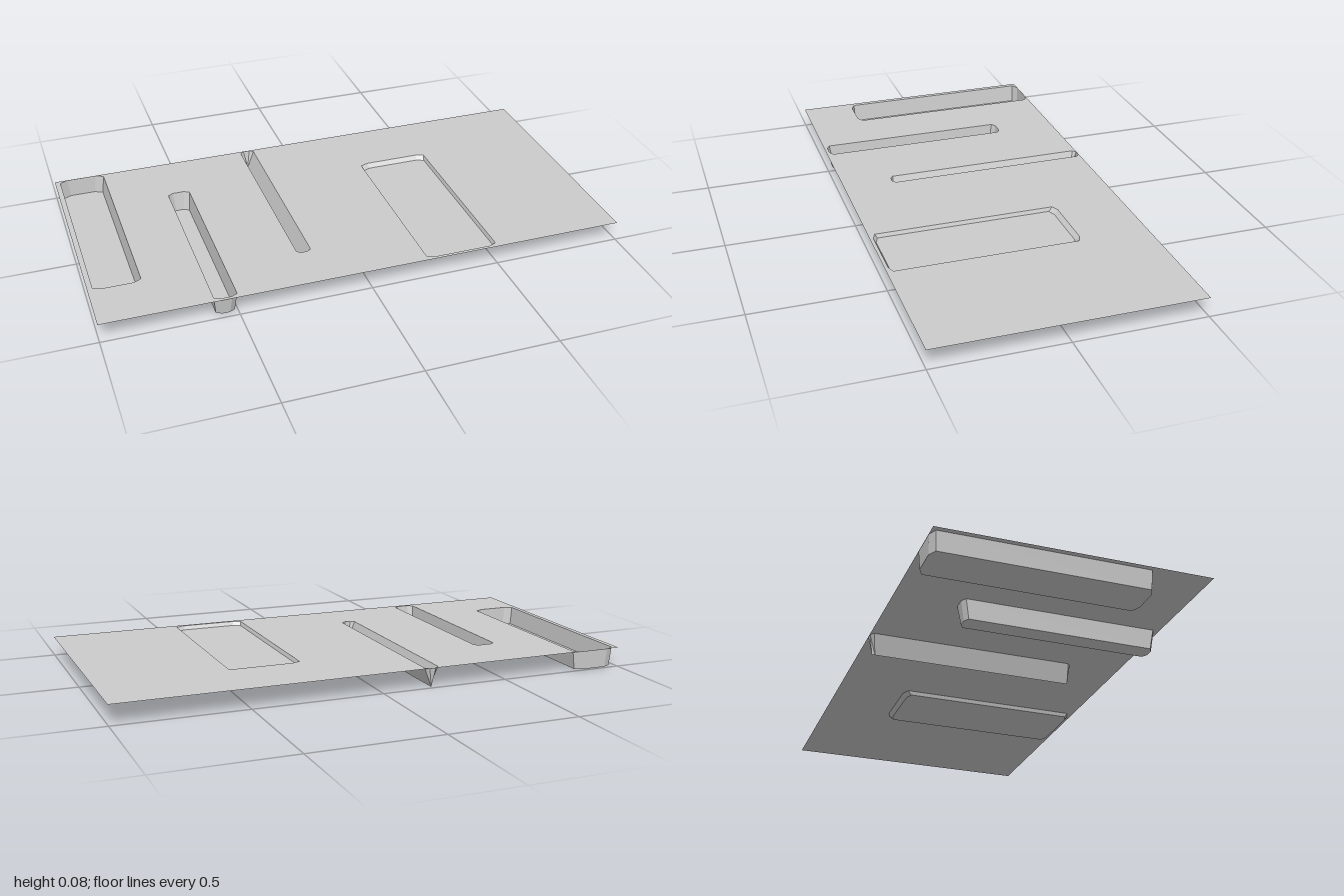
import * as THREE from 'three';

const TOP = 0.075;
const material = new THREE.MeshStandardMaterial({ color: 0xcccccc, flatShading: true, side: THREE.DoubleSide });

// Rectangle with clipped corners, as [x, z] points
function outline([x0, x1, z0, z1], cx, cz) {
  const c = Math.min(cx, (x1 - x0) / 2);
  return [
    [x0 + c, z0], [x1 - c, z0], [x1, z0 + cz], [x1, z1 - cz],
    [x1 - c, z1], [x0 + c, z1], [x0, z1 - cz], [x0, z0 + cz],
  ];
}

// Each pocket: rim and floor rectangles [x0, x1, z0, z1], floor height, corner clip
const pockets = [
  { name: 'widePocket', rim: [-0.98, -0.805, -0.499, 0.293], floor: [-0.972, -0.815, -0.497, 0.29], y: 0.003, cx: 0.03, cz: 0.015 },
  { name: 'narrowPocket', rim: [-0.587, -0.502, -0.262, 0.487], floor: [-0.58, -0.51, -0.25, 0.475], y: 0, cx: 0.02, cz: 0.012 },
  { name: 'vGroove', rim: [-0.225, -0.17, -0.498, 0.303], floor: [-0.198, -0.198, -0.486, 0.295], y: 0, cx: 0.015, cz: 0.012 },
  { name: 'shallowTray', rim: [0.22, 0.498, -0.238, 0.487], floor: [0.225, 0.493, -0.222, 0.478], y: 0.06, cx: 0.03, cz: 0.012 },
];

// Sloping walls and flat floor between rim and floor outlines
function pocketGeometry({ rim, floor, y, cx, cz }) {
  const a = outline(rim, cx, cz);
  const b = outline(floor, cx, cz);
  const n = a.length;
  const pos = [];
  const put = ([x, z], h) => pos.push(x, h, z);
  for (let i = 0; i < n; i++) {
    const j = (i + 1) % n;
    put(a[i], TOP); put(b[i], y); put(a[j], TOP);
    // A groove's floor shrinks to a line, so its end walls become triangles
    if (Math.hypot(b[i][0] - b[j][0], b[i][1] - b[j][1]) > 1e-5) {
      put(a[j], TOP); put(b[i], y); put(b[j], y);
    }
  }
  if (floor[1] > floor[0]) {
    for (let i = 1; i < n - 1; i++) {
      put(b[0], y); put(b[i + 1], y); put(b[i], y);
    }
  }
  const g = new THREE.BufferGeometry();
  g.setAttribute('position', new THREE.Float32BufferAttribute(pos, 3));
  g.computeVertexNormals();
  return g;
}

export function createModel() {
  const group = new THREE.Group();
  const add = (geometry, name) => {
    const mesh = new THREE.Mesh(geometry, material);
    mesh.name = name;
    group.add(mesh);
  };

  // Flat sheet with an opening over every pocket
  const toShapePoints = (pts) => pts.map(([x, z]) => new THREE.Vector2(x, -z));
  const sheet = new THREE.Shape(toShapePoints([[-1, 0.5], [1, 0.5], [1, -0.5], [-1, -0.5]]));
  for (const p of pockets) sheet.holes.push(new THREE.Path(toShapePoints(outline(p.rim, p.cx, p.cz))));
  add(new THREE.ShapeGeometry(sheet).rotateX(-Math.PI / 2).translate(0, TOP, 0), 'sheet');

  for (const p of pockets) add(pocketGeometry(p), p.name);
  return group;
}
